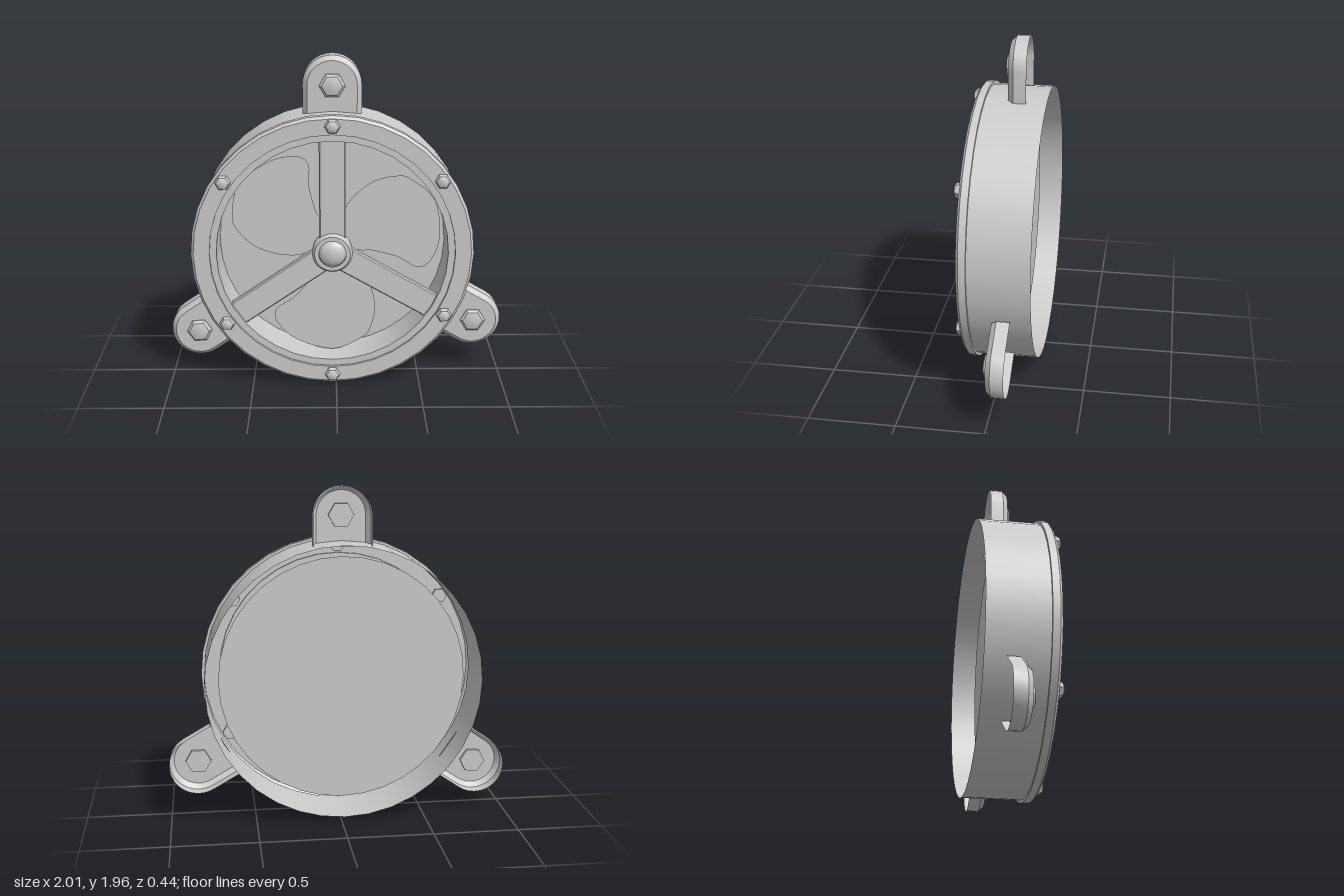
import * as THREE from 'three';
import { mergeGeometries, toCreasedNormals } from 'three/addons/utils/BufferGeometryUtils.js';

const mat = new THREE.MeshStandardMaterial({ color: 0xcccccc, side: THREE.DoubleSide });
const V = (x, y) => new THREE.Vector2(x, y);

function add(parent, name, geometry, x = 0, y = 0, z = 0) {
  const m = new THREE.Mesh(geometry, mat);
  m.name = name;
  m.position.set(x, y, z);
  parent.add(m);
  return m;
}

// Turned part about the z axis with sharp corners; profile is [radius, z] pairs
function turned(profile, sides) {
  const bands = [];
  for (let i = 0; i + 1 < profile.length; i++) {
    bands.push(new THREE.LatheGeometry([V(...profile[i]), V(...profile[i + 1])], sides));
  }
  return mergeGeometries(bands).rotateX(Math.PI / 2);
}

// Hex bolt head with a chamfer and a low domed top, standing on z = 0
function boltGeometry(r, h) {
  const g = turned([[0, -0.02], [r, -0.02], [r, h * 0.2], [r * 0.8, h * 0.7],
    [r * 0.45, h * 0.9], [0, h]], 6);
  return toCreasedNormals(g.rotateZ(Math.PI / 2), 0.45);
}

// U-shaped lug outline pointing along +y
const LUG_Y = 0.96;
function lugOutline(r) {
  const pts = [V(r, 0.775)];
  for (let i = 0; i <= 16; i++) {
    const a = (i / 16) * Math.PI;
    pts.push(V(Math.cos(a) * r, LUG_Y + Math.sin(a) * r));
  }
  pts.push(V(-r, 0.775));
  return pts;
}

// Hollow lug shell: side wall and chamfer, open at the back
function lugGeometry() {
  const loops = [[0.171, -0.105], [0.171, -0.03], [0.144, 0]].map(([r, z]) =>
    lugOutline(r).map(p => [p.x, p.y, z]));
  const pos = [];
  for (let k = 0; k < 2; k++) {
    for (let i = 0; i + 1 < loops[0].length; i++) {
      const a = loops[k][i], b = loops[k][i + 1], c = loops[k + 1][i + 1], d = loops[k + 1][i];
      pos.push(...a, ...b, ...c, ...a, ...c, ...d);
    }
  }
  const g = new THREE.BufferGeometry();
  g.setAttribute('position', new THREE.Float32BufferAttribute(pos, 3));
  return toCreasedNormals(g, 0.5);
}

export function createModel() {
  const model = new THREE.Group();
  model.name = 'portholeFan';
  const body = new THREE.Group();
  body.name = 'fanBody';
  body.position.set(-0.023, 0.83, 0);
  model.add(body);

  // Housing: open-backed drum, front flange and recessed opening
  add(body, 'drum', turned([[0.81, -0.22], [0.81, 0.13]], 36));
  add(body, 'frontFlange', turned(
    [[0.81, 0.13], [0.826, 0.13], [0.826, 0.172], [0.81, 0.187], [0.717, 0.187],
      [0.717, 0.172], [0.677, 0.172]], 36));
  add(body, 'recessWall', turned([[0.677, 0.172], [0.677, -0.08]], 36));
  add(body, 'backPlate', new THREE.CircleGeometry(0.73, 36), 0, 0, -0.08);

  // Thin blade outline, leaning to the upper left
  const bladeShape = new THREE.Shape();
  bladeShape.moveTo(-0.02, 0.04);
  bladeShape.lineTo(-0.067, 0.17);
  bladeShape.splineThru([V(-0.1, 0.23), V(-0.137, 0.38), V(-0.137, 0.5), V(-0.205, 0.553),
    V(-0.365, 0.525), V(-0.55, 0.38), V(-0.59, 0.195), V(-0.57, 0.115), V(-0.473, 0.01),
    V(-0.34, -0.045), V(-0.205, -0.055), V(-0.115, -0.02)]);
  bladeShape.closePath();
  const bladeGeo = new THREE.ShapeGeometry(bladeShape, 4);

  // Guard spoke: flat bar with slightly bevelled long edges, section drawn as (x, -z)
  const spokeShape = new THREE.Shape([V(-0.077, -0.115), V(0.077, -0.115), V(0.077, -0.143),
    V(0.07, -0.15), V(-0.07, -0.15), V(-0.077, -0.143)]);
  const spokeGeo = new THREE.ExtrudeGeometry(spokeShape, { depth: 0.6, bevelEnabled: false });
  spokeGeo.rotateX(-Math.PI / 2).translate(0, 0.08, 0);

  // Hub: stepped collar with a domed cap
  add(body, 'hubCollar', turned(
    [[0, 0.1], [0.118, 0.1], [0.118, 0.155], [0.105, 0.175], [0.08, 0.175]], 24));
  const cap = [];
  for (let i = 0; i <= 6; i++) {
    const t = (i / 6) * Math.PI / 2;
    cap.push(V(0.08 * Math.cos(t), 0.165 + 0.04 * Math.sin(t)));
  }
  add(body, 'hubCap', new THREE.LatheGeometry(cap, 24).rotateX(Math.PI / 2));

  // Flange bolts
  const flangeBoltGeo = boltGeometry(0.046, 0.036);
  const flangeBolts = [[0, 0.767], [0.63, 0.445], [0.66, -0.38],
    [0, -0.765], [-0.625, -0.43], [-0.625, 0.44]];
  for (const [x, y] of flangeBolts) add(body, 'flangeBolt', flangeBoltGeo, x, y, 0.187);

  // Blades, spokes and mounting lugs, three of each
  const shellGeo = lugGeometry();
  const faceGeo = new THREE.ShapeGeometry(new THREE.Shape(lugOutline(0.144)));
  const lugBoltGeo = boltGeometry(0.076, 0.034);
  for (const [deg, reach] of [[0, 0], [124.5, 0.027], [-120, 0.03]]) {
    const a = THREE.MathUtils.degToRad(deg);
    add(body, 'blade', bladeGeo, 0, 0, 0.04).rotation.z = a;
    add(body, 'spoke', spokeGeo).rotation.z = a;
    const lug = new THREE.Group();
    lug.name = 'mountingLug';
    lug.rotation.z = a;
    lug.position.set(-Math.sin(a) * reach, Math.cos(a) * reach, 0);
    add(lug, 'lugShell', shellGeo);
    add(lug, 'lugFace', faceGeo);
    add(lug, 'lugBolt', lugBoltGeo, 0, LUG_Y, 0);
    body.add(lug);
  }
  return model;
}
